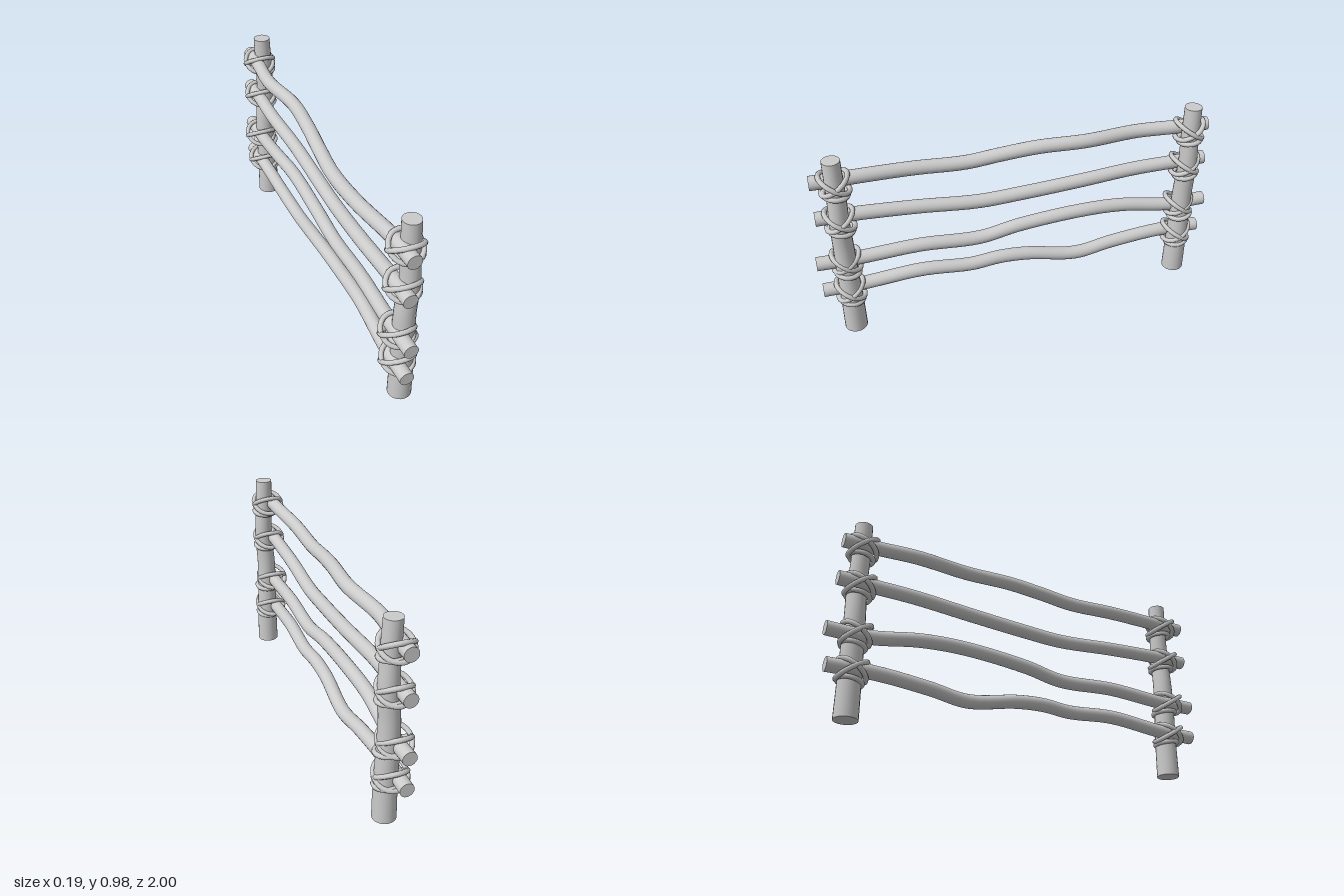
import * as THREE from 'three';

const material = new THREE.MeshStandardMaterial({ color: 0xcccccc });
const POST_Z = 0.86;

// Round pole whose cross-sections follow a path running mainly along +y.
function bentPole(points, r0, r1, rows) {
  const curve = new THREE.CatmullRomCurve3(points);
  const geo = new THREE.CylinderGeometry(1, 1, 1, 20, rows);
  const pos = geo.attributes.position, nor = geo.attributes.normal;
  const n = new THREE.Vector3();
  for (let i = 0; i < pos.count; i++) {
    const u = THREE.MathUtils.clamp(pos.getY(i) + 0.5, 0, 1);
    const p = curve.getPoint(u), t = curve.getTangent(u);
    const r = THREE.MathUtils.lerp(r0, r1, u);
    pos.setXYZ(i, p.x + pos.getX(i) * r, p.y, p.z + pos.getZ(i) * r);
    n.fromBufferAttribute(nor, i);
    if (Math.abs(n.y) < 0.9) { // tilt side normals with the bend
      n.y -= (n.x * t.x + n.z * t.z) / t.y;
      n.normalize();
      nor.setXYZ(i, n.x, n.y, n.z);
    }
  }
  return geo;
}

// Closed rope loop: an ellipse in x and z whose height rises by tilt along z.
function ropeLoop(cx, rx, rz, tilt, y) {
  const pts = [];
  for (let i = 0; i < 12; i++) {
    const a = (i / 12) * Math.PI * 2;
    pts.push(new THREE.Vector3(cx + rx * Math.cos(a), y + tilt * Math.sin(a), rz * Math.sin(a)));
  }
  return new THREE.TubeGeometry(new THREE.CatmullRomCurve3(pts, true), 24, 0.012, 8, true);
}

function add(parent, name, geo) {
  const mesh = new THREE.Mesh(geo, material);
  mesh.name = name;
  parent.add(mesh);
  return mesh;
}

// Rails: waypoints are [z, y, x]; lash is the height and x centre of the bindings.
const rails = [
  { name: 'topRail', lash: [0.85, 0.004], path: [
    [-0.96, 0.855, -0.014], [-0.8, 0.855, -0.02], [-0.6, 0.855, -0.035], [-0.33, 0.862, -0.005],
    [-0.1, 0.86, -0.02], [0.08, 0.84, -0.035], [0.25, 0.82, -0.044], [0.5, 0.833, -0.044],
    [0.8, 0.853, -0.018], [0.97, 0.855, -0.014]] },
  { name: 'upperRail', lash: [0.648, 0.003], path: [
    [-0.97, 0.652, -0.018], [-0.8, 0.65, -0.018], [-0.6, 0.645, -0.022], [-0.3, 0.632, -0.01],
    [0, 0.615, -0.01], [0.2, 0.608, -0.012], [0.5, 0.63, -0.02], [0.8, 0.65, -0.018],
    [0.97, 0.652, -0.018]] },
  { name: 'lowerRail', lash: [0.395, -0.008], path: [
    [-1, 0.394, -0.012], [-0.8, 0.394, -0.012], [-0.55, 0.432, -0.02], [-0.32, 0.446, -0.012],
    [0, 0.422, -0.012], [0.2, 0.39, -0.008], [0.5, 0.406, -0.01], [0.8, 0.392, -0.012],
    [1, 0.394, -0.012]] },
  { name: 'bottomRail', lash: [0.224, 0.004], path: [
    [-0.985, 0.222, -0.016], [-0.75, 0.226, -0.016], [-0.5, 0.208, -0.01], [-0.3, 0.187, 0],
    [-0.05, 0.23, -0.01], [0.1, 0.242, -0.008], [0.25, 0.236, 0], [0.5, 0.253, -0.005],
    [0.8, 0.224, -0.016], [0.99, 0.222, -0.016]] },
];

export function createModel() {
  const group = new THREE.Group();
  group.name = 'fence';

  // Horizontal rails, built upright and laid along z
  for (const { name, path } of rails) {
    const pts = path.map(([z, y, x]) => new THREE.Vector3(x, z, -y));
    add(group, name, bentPole(pts, 0.034, 0.034, 48).rotateX(Math.PI / 2));
  }

  for (const side of [1, -1]) {
    const label = side > 0 ? 'front' : 'back';

    // Slightly crooked, tapering post
    const post = [[0, 0.026, 0], [0.2, 0.026, 0], [0.35, 0.022, 0.002], [0.5, 0.022, 0.003],
      [0.65, 0.032, 0.004], [0.8, 0.028, 0], [0.98, 0.022, 0]]
      .map(([y, x, z]) => new THREE.Vector3(x, y, side * (POST_Z + z)));
    add(group, label + 'Post', bentPole(post, 0.056, 0.042, 24));

    // Rope bindings: two crossed loops round rail and post, one round the post below
    for (const { name, lash: [y, cx] } of rails) {
      const binding = new THREE.Group();
      binding.name = label + 'Binding_' + name;
      binding.position.set(0, y, side * POST_Z);
      add(binding, 'crossLoopA', ropeLoop(cx, 0.076, 0.066, 0.044, 0));
      add(binding, 'crossLoopB', ropeLoop(cx, 0.074, 0.064, -0.042, 0));
      add(binding, 'lowerLoop', ropeLoop(0.022, 0.056, 0.056, 0.008 * side, -0.046));
      group.add(binding);
    }
  }
  return group;
}
